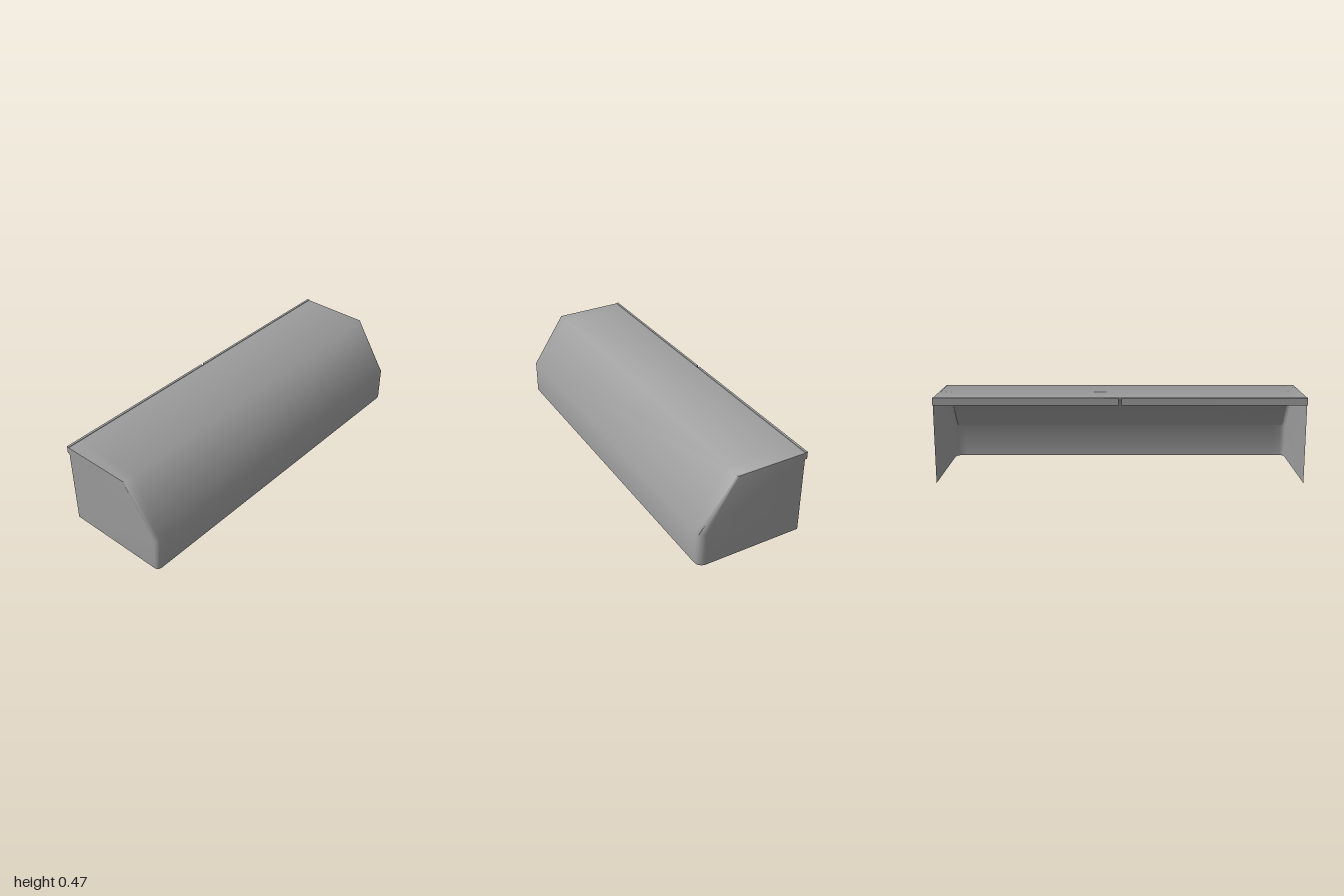
import * as THREE from 'three';
import { toCreasedNormals } from 'three/addons/utils/BufferGeometryUtils.js';

const BACK = -0.293;
const ARC = 3; // segments in each rounded front corner

// Half of the plan outline: back edge, rounded corner, start of the flat front
function halfOutline(side, y, front, r) {
  const pts = [[side, y, BACK]];
  for (let i = 0; i <= ARC; i++) {
    const a = i / ARC * Math.PI / 2;
    pts.push([side * (1 - r + r * Math.cos(a)), y, front - r + r * Math.sin(a)]);
  }
  pts.push([side * 0.93, y, front]);
  return pts;
}

function outline(y, front, rNeg, rPos) {
  return [...halfOutline(-1, y, front, rNeg), ...halfOutline(1, y, front, rPos).reverse()];
}

// Thin folded sheet: walls, sloped face and roof, open below and behind
function shellGeometry() {
  const rings = [
    outline(0, 0.306, 0.025, 0.04),
    outline(0.19, 0.306, 0.025, 0.04),
    outline(0.472, 0.107, 0.008, 0.012),
  ];
  const top = rings[2];
  rings.push(top.map(([x, y]) => [x, y, BACK])); // rear edge of the roof
  const n = top.length;
  const index = [];
  for (let i = 0; i < rings.length - 1; i++) {
    const inset = i === 2 ? 1 : 0; // the roof has no side walls
    for (let j = inset; j < n - 1 - inset; j++) {
      const a = i * n + j;
      index.push(a, a + 1, a + n + 1, a, a + n + 1, a + n);
    }
  }
  const geo = new THREE.BufferGeometry();
  geo.setAttribute('position', new THREE.Float32BufferAttribute(rings.flat(2), 3));
  geo.setIndex(index);
  return toCreasedNormals(geo, 1.05);
}

// Inner sheet just under the roof and slope
function liningGeometry() {
  const rows = [[0.466, BACK], [0.466, 0.104], [0.19, 0.299]]; // y, z
  const geo = new THREE.PlaneGeometry(1.97, 1, 1, 2);
  const pos = geo.attributes.position;
  for (let i = 0; i < pos.count; i++) {
    const [y, z] = rows[Math.floor(i / 2)];
    pos.setXYZ(i, pos.getX(i), y, z);
  }
  geo.computeVertexNormals();
  return geo;
}

export function createModel() {
  const group = new THREE.Group();
  const sheet = new THREE.MeshStandardMaterial({ color: 0x9d9d9d, side: THREE.DoubleSide });
  const solid = new THREE.MeshStandardMaterial({ color: 0x9d9d9d });

  const add = (name, geometry, material) => {
    const mesh = new THREE.Mesh(geometry, material);
    mesh.name = name;
    group.add(mesh);
    return mesh;
  };

  add('hoodShell', shellGeometry(), sheet);
  add('hoodLining', liningGeometry(), sheet);

  // Two rear lip strips with a narrow gap in the middle
  for (const side of [-1, 1]) {
    const lip = add(side > 0 ? 'leftRearLip' : 'rightRearLip',
      new THREE.BoxGeometry(0.993, 0.041, 0.013), solid);
    lip.position.set(side * 0.5035, 0.4545, -0.2995);
  }
  return group;
}
